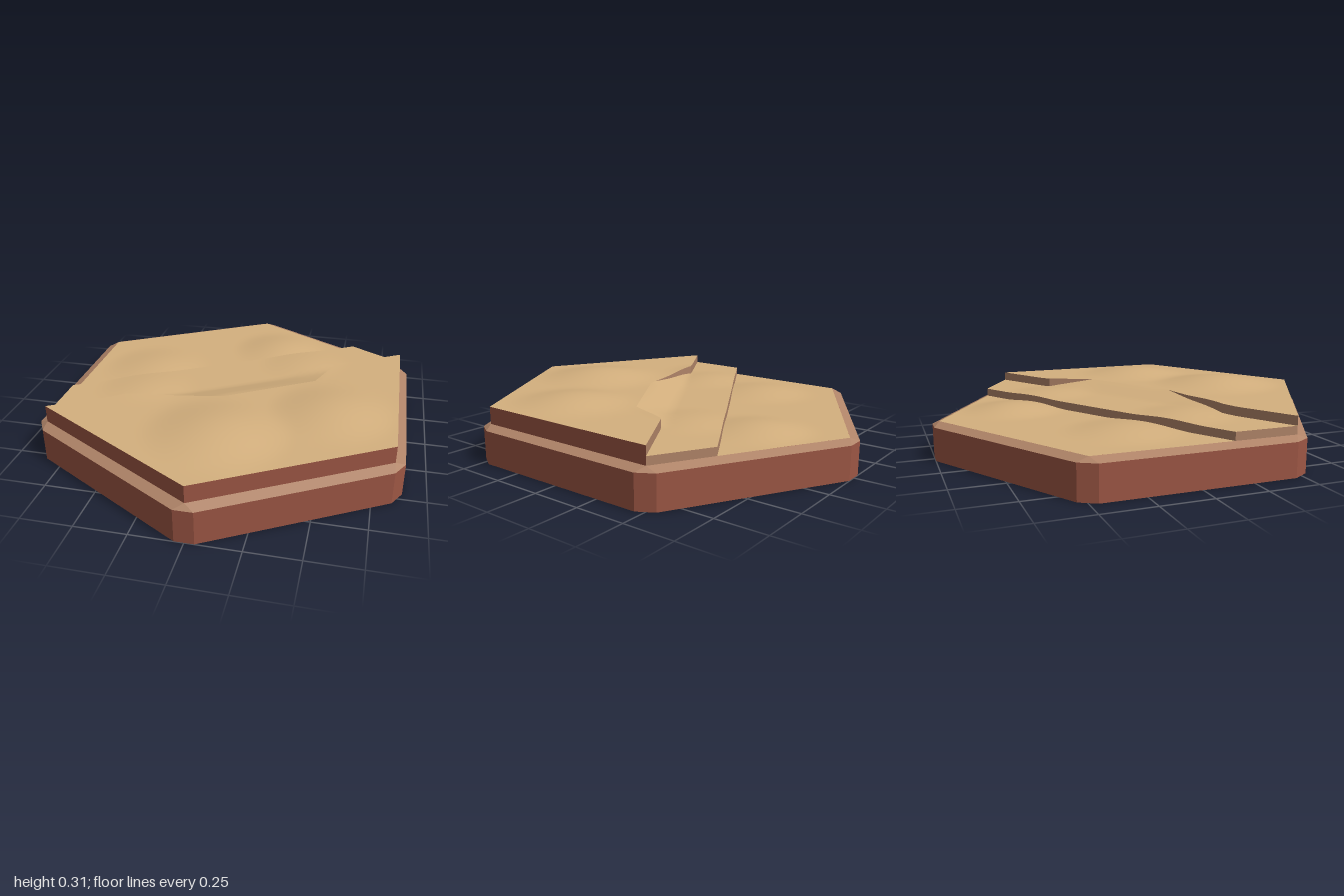
import * as THREE from 'three';

const BASE = 0.165, LOW = 0.185, MID = 0.225, HIGH = 0.27;
const R = 0.97, EDGE = 0.84, STEP = -0.27;
const lerp = THREE.MathUtils.lerp, clamp = THREE.MathUtils.clamp;

const brick = new THREE.MeshStandardMaterial({ color: 0x9c5644 });
const rock = new THREE.MeshStandardMaterial({ color: 0xb08468 });
const sand = new THREE.MeshStandardMaterial({ color: 0xd4b07e });

// Tile axes: s runs along the terrace steps, t runs across them to the front
const C = Math.sqrt(3) / 2;
const toWorld = (s, t, y) => [s * C + t * 0.5, y, -s * 0.5 + t * C];

// Soft dunes: world x, z, height, radius
const lowDunes = [[0.15, -0.58, 0.03, 0.28], [-0.5, -0.2, 0.025, 0.3]];
const upperDunes = [
  [0.03, 0.54, 0.04, 0.36], [0.53, 0.24, 0.034, 0.32],
  [0.32, -0.33, 0.015, 0.25], [-0.45, 0.12, 0.018, 0.26],
];
function dunes(list, s, t) {
  const [x, , z] = toWorld(s, t, 0);
  return list.reduce((sum, [cx, cz, h, r]) => {
    const q = 1 - ((x - cx) ** 2 + (z - cz) ** 2) / (r * r);
    return sum + (q > 0 ? h * q * q : 0);
  }, 0);
}
const lowY = (s, t) => LOW + dunes(lowDunes, s, t);
const midY = (s, t) => lerp(MID, HIGH, clamp(t / 0.15, 0, 1)) + dunes(upperDunes, s, t);
const highY = (s, t) => HIGH + dunes(upperDunes, s, t);

// Upper step line, with a bay where the middle terrace ramps up
const bay = [[-1, 0], [-0.6, 0], [-0.12, 0.165], [0.4, 0.15], [0.6, 0], [1, 0]];
function cliff(u) {
  let i = 0;
  while (i < bay.length - 2 && u > bay[i + 1][0]) i++;
  const [a, b] = [bay[i], bay[i + 1]];
  return lerp(a[1], b[1], (u - a[0]) / (b[0] - a[0]));
}

// Grid surface from f(i, j) -> [x, y, z]
function surface(name, material, nu, nv, f, flat = false) {
  const pos = [], index = [];
  for (let j = 0; j <= nv; j++) for (let i = 0; i <= nu; i++) pos.push(...f(i, j));
  for (let j = 0; j < nv; j++) for (let i = 0; i < nu; i++) {
    const a = j * (nu + 1) + i, c = a + nu + 1;
    index.push(a, c, a + 1, a + 1, c, c + 1);
  }
  let geo = new THREE.BufferGeometry();
  geo.setAttribute('position', new THREE.Float32BufferAttribute(pos, 3));
  geo.setIndex(index);
  if (flat) geo = geo.toNonIndexed();
  geo.computeVertexNormals();
  const mesh = new THREE.Mesh(geo, material);
  mesh.name = name;
  return mesh;
}

// Terrace top spanned between a back line and a front line, each u -> [s, t]
const NU = 50, NV = 16;
const along = (i) => -1 + (2 * i) / NU;
function terrace(name, back, front, height) {
  return surface(name, sand, NU, NV, (i, j) => {
    const u = along(i), a = back(u), b = front(u), v = j / NV;
    const s = lerp(a[0], b[0], v), t = lerp(a[1], b[1], v);
    return toWorld(s, t, height(s, t));
  });
}

// Upright face along a step line
const stepFace = (name, line, bottom, top) =>
  surface(name, rock, NU, 1, (i, j) => {
    const [s, t] = line(along(i));
    return toWorld(s, t, (j ? top : bottom)(s, t));
  }, true);

// Upright outer wall along a path of [s, t] points
const outerWall = (name, material, path, top) =>
  surface(name, material, path.length - 1, 1,
    (i, j) => toWorld(...path[i], j ? top : LOW), true);

export function createModel() {
  const model = new THREE.Group();
  model.name = 'terracedHexTile';

  // Base: hexagon with clipped corners
  const ring = [];
  for (let k = 0; k < 6; k++) for (const d of [-2.6, 2.6]) {
    const a = THREE.MathUtils.degToRad(-(k * 60 + d)), b = -k * Math.PI / 3;
    ring.push({
      outer: [Math.sin(a), Math.cos(a)],
      inner: [R * Math.sin(b), R * Math.cos(b)],
    });
  }
  const shape = new THREE.Shape(ring.map((p) => new THREE.Vector2(...p.outer)));
  const baseGeo = new THREE.ExtrudeGeometry(shape, { depth: BASE, bevelEnabled: false });
  baseGeo.rotateX(-Math.PI / 2);
  const base = new THREE.Mesh(baseGeo, brick);
  base.name = 'base';
  model.add(base);

  // Sloped rim from the base up to the terrain outline
  model.add(surface('rim', rock, 12, 1, (i, j) => {
    const p = ring[i % 12], [x, z] = j ? p.inner : p.outer;
    return [x, j ? LOW : BASE, z];
  }, true));

  // Terrace lines from back to front
  const stepHalf = R + STEP / Math.sqrt(3);
  const backLine = (u) => [u * R / 2, -EDGE];
  const stepLine = (u) => [u * stepHalf, STEP];
  const cliffLine = (u) => [u * R, cliff(u)];
  const frontLine = (u) => [u * R / 2, EDGE];

  model.add(
    terrace('lowTerrace', backLine, stepLine, lowY),
    terrace('middleTerrace', stepLine, cliffLine, midY),
    terrace('highTerrace', cliffLine, frontLine, highY),
    stepFace('lowerStep', stepLine, lowY, midY),
    stepFace('upperStep', cliffLine, midY, highY),
    outerWall('middleWallLeft', rock, [[stepHalf, STEP], [R, 0]], MID),
    outerWall('middleWallRight', rock, [[-R, 0], [-stepHalf, STEP]], MID),
    outerWall('highWall', brick,
      [[R, 0], [R / 2, EDGE], [-R / 2, EDGE], [-R, 0]], HIGH),
  );
  return model;
}
